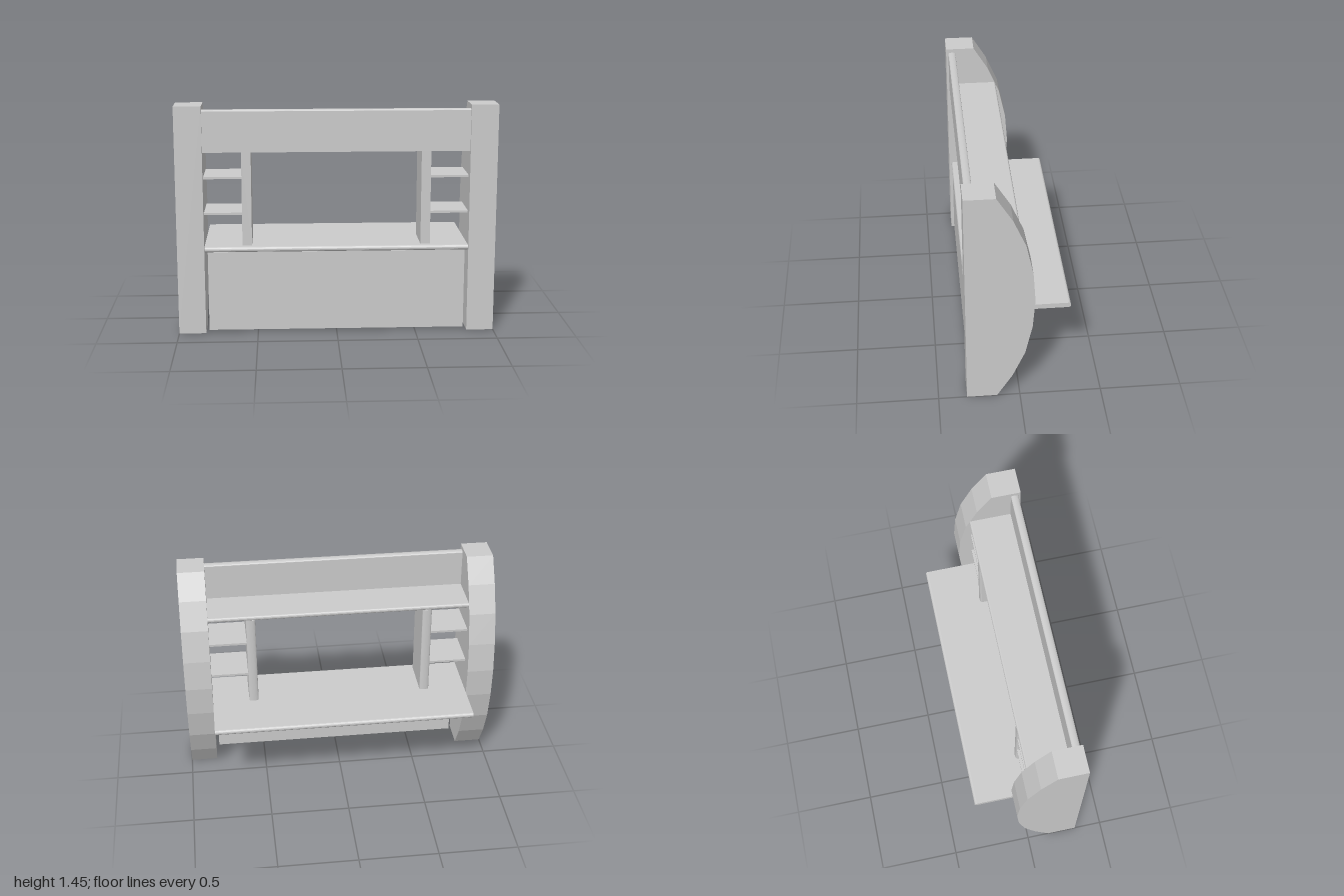
import * as THREE from 'three';

const material = new THREE.MeshStandardMaterial({ color: 0xcccccc, flatShading: true });

// Flat board centred on the origin: width along x, thickness along y, depth along z.
// The noses are how far the rounded front (+z) and back (-z) edges bulge.
function board(name, width, depth, thick, frontNose = 0, backNose = 0) {
  const d = depth / 2, t = thick / 2;
  const shape = new THREE.Shape();
  shape.moveTo(-d + backNose, -t);
  shape.lineTo(d - frontNose, -t);
  if (frontNose) shape.absellipse(d - frontNose, 0, frontNose, t, -Math.PI / 2, Math.PI / 2, false, 0);
  else shape.lineTo(d, t);
  shape.lineTo(-d + backNose, t);
  if (backNose) shape.absellipse(-d + backNose, 0, backNose, t, Math.PI / 2, Math.PI * 1.5, false, 0);
  shape.closePath();
  return extrudeAlongX(name, shape, width);
}

// Extrudes a (z, y) outline along x, centred.
function extrudeAlongX(name, shape, width) {
  const geo = new THREE.ExtrudeGeometry(shape, { depth: width, bevelEnabled: false, curveSegments: 6 });
  geo.translate(0, 0, -width / 2);
  geo.rotateY(-Math.PI / 2);
  const mesh = new THREE.Mesh(geo, material);
  mesh.name = name;
  return mesh;
}

export function createModel() {
  const group = new THREE.Group();
  group.name = 'barCounter';
  const add = (mesh, x, y, z) => {
    mesh.position.set(x, y, z);
    group.add(mesh);
    return mesh;
  };

  // Side posts: straight front, faceted bowed back
  const bow = [[0.14, 0], [0.045, 0.155], [-0.03, 0.33], [-0.073, 0.53], [-0.087, 0.725]];
  const upper = bow.slice(0, -1).reverse().map(([z, y]) => [z, 1.45 - y]);
  const outline = [[0.325, 0], [0.325, 1.45], ...[...bow, ...upper].reverse()];
  const postShape = new THREE.Shape(outline.map(([z, y]) => new THREE.Vector2(z, y)));
  for (const [side, s] of [['left', 1], ['right', -1]]) {
    add(extrudeAlongX(side + 'Post', postShape, 0.17), s * 0.915, 0, 0);

    // Divider standing on the counter, rounded at the back
    const divider = board(side + 'Divider', 0.605, 0.27, 0.06, 0, 0.012);
    divider.rotation.z = Math.PI / 2;
    add(divider, s * 0.563, 0.8575, 0.13);

    // Two small shelves between divider and post
    for (const y of [0.763, 0.992]) {
      add(board(side + 'SmallShelf', 0.24, 0.265, 0.014), s * 0.711, y, 0.1325);
    }
  }

  // Counter with rounded front and back edges
  add(board('counterTop', 1.66, 0.635, 0.033, 0.015, 0.015), 0, 0.54, -0.0075);

  // Front panel under the counter
  add(board('frontPanel', 1.62, 0.03, 0.51), 0, 0.27, 0.29);

  // Header panel, rounded along its top edge
  const header = board('headerPanel', 1.66, 0.265, 0.047, 0.01);
  header.rotation.x = -Math.PI / 2;
  add(header, 0, 1.2925, 0.2865);

  // Long shelf behind the header
  add(board('topShelf', 1.66, 0.27, 0.028, 0, 0.01), 0, 1.174, 0.13);

  return group;
}
